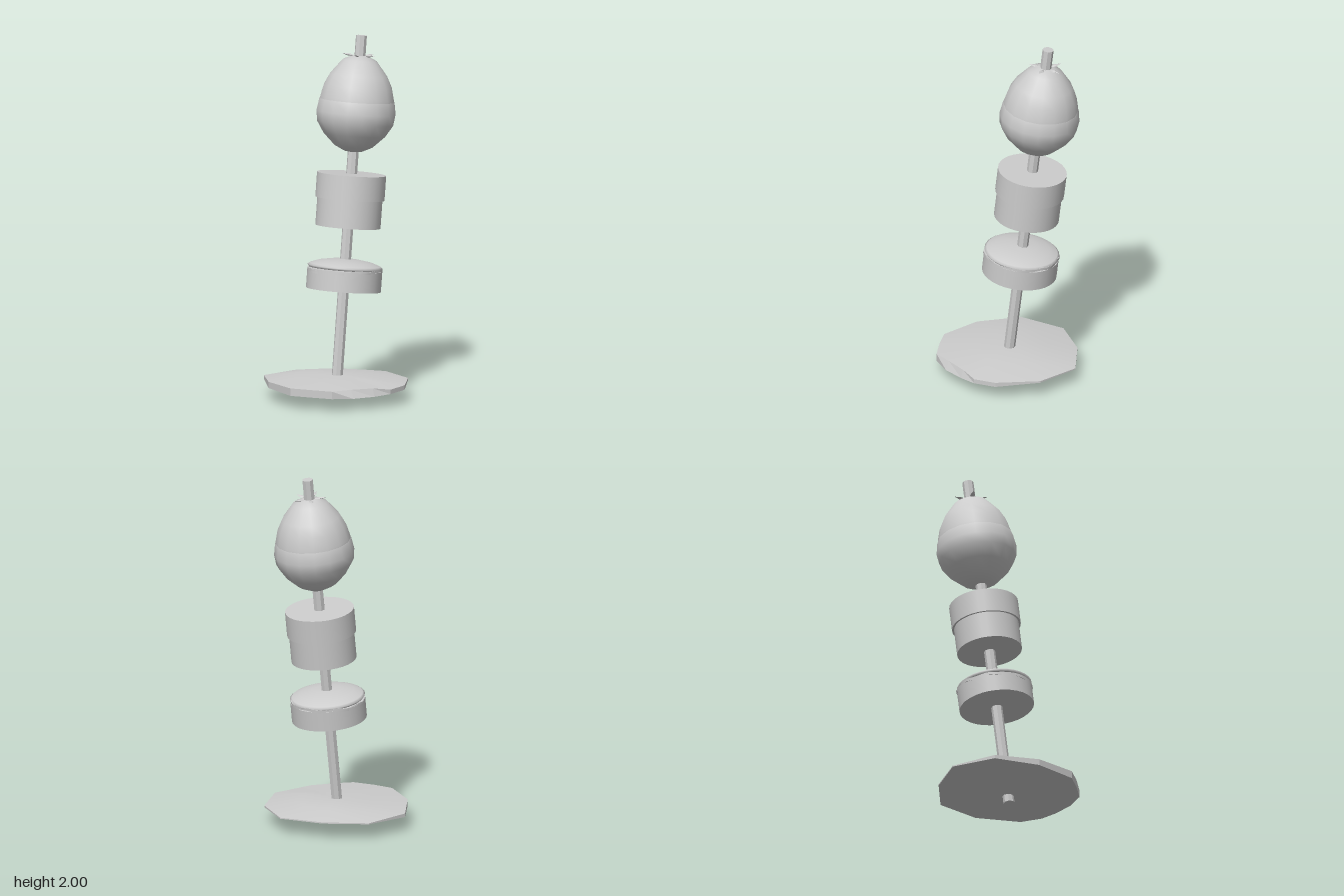
import * as THREE from 'three';

const grey = new THREE.MeshStandardMaterial({ color: 0xcccccc });

function add(parent, name, geometry) {
  const mesh = new THREE.Mesh(geometry, grey);
  mesh.name = name;
  parent.add(mesh);
  return mesh;
}

// Give every face its own normal
function flat(geometry) {
  const g = geometry.index ? geometry.toNonIndexed() : geometry;
  g.computeVertexNormals();
  return g;
}

// Cylinder between two heights along the stick
function drum(radius, from, to, sides = 32) {
  return new THREE.CylinderGeometry(radius, radius, to - from, sides).translate(0, (from + to) / 2, 0);
}

// Turned shell from [radius, height] pairs, bottom to top
function turned(points, sides) {
  return new THREE.LatheGeometry(points.map(([r, y]) => new THREE.Vector2(r, y)), sides);
}

// Skin over consecutive rings of points, with a fan to an optional end point
function skin(rings, apex) {
  const n = rings[0].length;
  const index = [];
  rings.slice(1).forEach((ring, r) => {
    for (let i = 0; i < n; i++) {
      const a = r * n + i, b = r * n + (i + 1) % n;
      index.push(a, b + n, b, a, a + n, b + n);
    }
  });
  const all = rings.flat();
  if (apex) {
    const base = (rings.length - 1) * n;
    for (let i = 0; i < n; i++) index.push(base + i, all.length, base + (i + 1) % n);
    all.push(apex);
  }
  const g = new THREE.BufferGeometry();
  g.setAttribute('position', new THREE.Float32BufferAttribute(all.flat(), 3));
  g.setIndex(index);
  g.computeVertexNormals();
  return g;
}

// Irregular lens-shaped slice: x, z, edge top, edge bottom, inset of the top edge
function createSlice() {
  const rim = [
    [-0.015, -0.4, 0.092, 0.086, 0], [0.215, -0.285, 0.093, 0.086, 0], [0.39, -0.1, 0.092, 0.086, 0],
    [0.375, 0.155, 0.095, 0.085, 0], [0.225, 0.355, 0.1, 0.075, 0], [0.105, 0.4, 0.095, 0.07, 0],
    [0, 0.4, 0.11, 0.065, 0.016], [-0.13, 0.39, 0.112, 0.065, 0.024], [-0.245, 0.35, 0.11, 0.068, 0],
    [-0.325, 0.25, 0.112, 0.07, 0], [-0.39, 0.15, 0.112, 0.07, 0], [-0.38, -0.09, 0.11, 0.075, 0],
    [-0.265, -0.32, 0.1, 0.08, 0],
  ];
  const top = rim.map(([x, z, t, , inset]) => [x, t, z - inset]);
  const bottom = rim.map(([x, z, , b]) => [x, b, z]);
  const shrink = (ring, y) => ring.map(([x, , z]) => [x * 0.55, y, z * 0.55]);
  const slice = new THREE.Group();
  slice.name = 'baseSlice';
  add(slice, 'sliceTop', skin([top, shrink(top, 0.125)], [0, 0.132, 0]));
  add(slice, 'sliceEdge', flat(skin([bottom, top])));
  // The underside runs the other way round so that it faces down
  const under = bottom.slice().reverse();
  add(slice, 'sliceUnderside', skin([under, shrink(under, 0.052)], [0, 0.045, 0]));
  return slice;
}

// Thin sheet with a wavy edge, slightly tilted
function createFilling() {
  const ring = (y) => Array.from({ length: 32 }, (_, i) => {
    const a = -i / 32 * Math.PI * 2;
    const r = 0.207 + 0.004 * Math.cos(i * Math.PI / 2);
    return [r * Math.cos(a), y + 0.004 * Math.sin(i * Math.PI / 2) + 0.012 * Math.cos(a), -r * Math.sin(a)];
  });
  const wound = (y) => ring(y).reverse();
  const faces = [skin([wound(0.704), wound(0.72)]), skin([wound(0.72)], [0, 0.722, 0]), skin([ring(0.704)], [0, 0.7, 0])];
  // Rings must run from back to right to front for outward faces
  return faces.map((g) => {
    const p = g.attributes.position, n = g.attributes.normal;
    const up = g === faces[1], down = g === faces[2];
    let sum = 0;
    for (let i = 0; i < p.count; i++) {
      sum += up ? n.getY(i) : down ? -n.getY(i) : n.getX(i) * p.getX(i) + n.getZ(i) * p.getZ(i);
    }
    if (sum < 0) {
      g.setIndex(Array.from(g.index.array).reverse());
      g.computeVertexNormals();
    }
    return g;
  });
}

export function createModel() {
  const model = new THREE.Group();
  model.name = 'snackSkewer';
  model.add(createSlice());

  // Everything on the stick shares its lean
  const skewer = new THREE.Group();
  skewer.name = 'skewer';
  const foot = new THREE.Vector3(-0.018, 0.003, 0.03);
  const lean = new THREE.Vector3(0.21, 1.997, -0.065).sub(foot);
  const length = lean.length();
  skewer.position.copy(foot);
  skewer.quaternion.setFromUnitVectors(new THREE.Vector3(0, 1, 0), lean.normalize());
  model.add(skewer);

  add(skewer, 'stick', flat(drum(0.031, 0, length, 8)));

  // Small bun with wavy filling
  add(skewer, 'bunBase', drum(0.207, 0.6, 0.712));
  createFilling().forEach((g) => add(skewer, 'bunFilling', g));
  add(skewer, 'bunTop', turned([[0, 0.715], [0.2, 0.718], [0.208, 0.73], [0.196, 0.739], [0.15, 0.756], [0.08, 0.768], [0, 0.772]], 32));

  // Two-part round block
  add(skewer, 'blockLower', drum(0.18, 0.95, 1.105));
  add(skewer, 'blockUpper', drum(0.191, 1.105, 1.243));

  // Dipped berry: lower coat and exposed upper part
  add(skewer, 'berryCoat', turned([[0, 1.36], [0.05, 1.368], [0.107, 1.396], [0.173, 1.46], [0.214, 1.525], [0.222, 1.583], [0.211, 1.65], [0.2, 1.651]], 16));
  add(skewer, 'berryTop', turned([[0.209, 1.635], [0.206, 1.665], [0.19, 1.73], [0.16, 1.79], [0.095, 1.872], [0.045, 1.895], [0, 1.9]], 16));

  // Five little leaves around the stick
  for (let i = 0; i < 5; i++) {
    const leaf = new THREE.OctahedronGeometry(1).scale(0.04, 0.007, 0.014);
    leaf.rotateZ(0.12).translate(0.06, 1.899, 0).rotateY((5 + i * 72) * Math.PI / 180);
    add(skewer, 'berryLeaf', flat(leaf));
  }
  return model;
}
